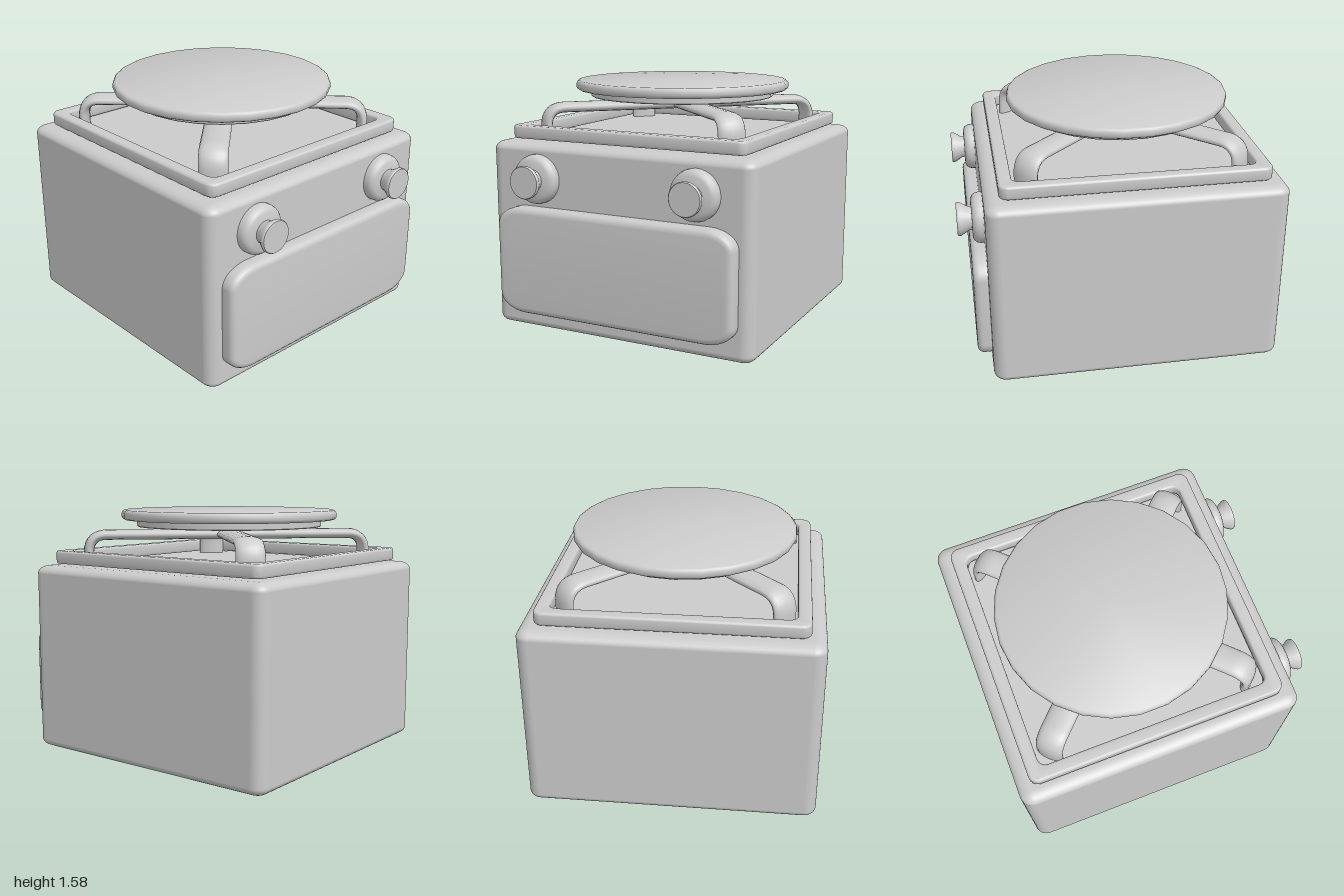
import * as THREE from 'three';
import { toCreasedNormals } from 'three/addons/utils/BufferGeometryUtils.js';
import { RoundedBoxGeometry } from 'three/addons/geometries/RoundedBoxGeometry.js';

const CZ = -0.08; // depth centre of the body and everything on top of it

// Rectangle with elliptical corners, centred on the origin
function roundedRect(target, w, h, rx, ry) {
  const x = w / 2, y = h / 2, q = Math.PI / 2;
  target.moveTo(x, -y + ry);
  target.lineTo(x, y - ry);
  target.absellipse(x - rx, y - ry, rx, ry, 0, q, false);
  target.absellipse(-x + rx, y - ry, rx, ry, q, 2 * q, false);
  target.absellipse(-x + rx, -y + ry, rx, ry, 2 * q, 3 * q, false);
  target.absellipse(x - rx, -y + ry, rx, ry, 3 * q, 4 * q, false);
  return target;
}

// Smooth lathe with sharp creases kept
function turned(points, sides) {
  const profile = points.map(([r, y]) => new THREE.Vector2(r, y));
  return toCreasedNormals(new THREE.LatheGeometry(profile, sides), 0.7);
}

export function createModel() {
  const model = new THREE.Group();
  const grey = new THREE.MeshStandardMaterial({ color: 0xcccccc });
  const add = (name, geometry, x, y, z, parent = model) => {
    const mesh = new THREE.Mesh(geometry, grey);
    mesh.name = name;
    mesh.position.set(x, y, z);
    parent.add(mesh);
    return mesh;
  };

  // Body: rounded box whose edge rounding is flattened vertically
  const squash = 0.65;
  const body = new RoundedBoxGeometry(1.83, 1.22 / squash, 1.84, 5, 0.08);
  body.scale(1, squash, 1);
  add('body', body, 0, 0.61, CZ);

  // Door panel on the front
  const b = 0.04;
  const doorShape = roundedRect(new THREE.Shape(), 1.65 - 2 * b, 0.7 - 2 * b, 0.15, 0.085);
  const door = new THREE.ExtrudeGeometry(doorShape, {
    depth: 0.06, bevelSize: b, bevelThickness: b, bevelSegments: 4, curveSegments: 8,
  });
  add('door', toCreasedNormals(door, 0.6), 0, 0.47, 0.83);

  // Square rim around the burner
  const e = 0.015;
  const rimShape = roundedRect(new THREE.Shape(), 1.64 - 2 * e, 1.66 - 2 * e, 0.045, 0.045);
  rimShape.holes.push(roundedRect(new THREE.Path(), 1.47 + 2 * e, 1.49 + 2 * e, 0.07, 0.07));
  const rim = new THREE.ExtrudeGeometry(rimShape, {
    depth: 0.085 - 2 * e, bevelSize: e, bevelThickness: e, bevelSegments: 3, curveSegments: 6,
  });
  rim.rotateX(-Math.PI / 2);
  add('burnerRim', toCreasedNormals(rim, 0.6), 0, 1.23 + e, CZ);

  // Two crossing support bars, flattened tubes bent down at the corners
  const v = (x, y) => new THREE.Vector3(x, y, 0);
  const path = new THREE.CurvePath();
  const R = 0.93, top = 1.417, bend = 0.12;
  path.add(new THREE.LineCurve3(v(-R, 1.2), v(-R, top - bend)));
  path.add(new THREE.QuadraticBezierCurve3(v(-R, top - bend), v(-R, top), v(-R + bend, top)));
  path.add(new THREE.LineCurve3(v(-R + bend, top), v(R - bend, top)));
  path.add(new THREE.QuadraticBezierCurve3(v(R - bend, top), v(R, top), v(R, top - bend)));
  path.add(new THREE.LineCurve3(v(R, top - bend), v(R, 1.2)));
  for (const side of [1, -1]) {
    const bar = new THREE.TubeGeometry(path, 100, 0.034, 16);
    bar.scale(1, 1, 2.6);
    add(side > 0 ? 'supportBarA' : 'supportBarB', bar, 0, 0, CZ).rotation.y = side * Math.PI / 4;
  }

  // Round hot plate with a stepped underside
  add('hotPlate', turned([
    [0, 1.47], [0.61, 1.47], [0.615, 1.475], [0.615, 1.515], [0.695, 1.515],
    [0.708, 1.522], [0.715, 1.535], [0.715, 1.56], [0.708, 1.573], [0.695, 1.58], [0, 1.58],
  ], 26), 0, 0, CZ - 0.005);

  // Pair of knobs: rounded collar and flared grip
  for (const side of [1, -1]) {
    const knob = new THREE.Group();
    knob.name = side > 0 ? 'leftKnob' : 'rightKnob';
    knob.position.set(side * 0.552, 1, 0.83);
    knob.rotation.x = Math.PI / 2;
    add('collar', turned([
      [0, 0], [0.157, 0], [0.157, 0.035], [0.152, 0.055], [0.14, 0.07], [0.12, 0.08], [0, 0.08],
    ], 32), 0, 0, 0, knob);
    add('grip', turned([
      [0.07, 0.07], [0.075, 0.1], [0.104, 0.148], [0.105, 0.163], [0.1, 0.17], [0, 0.17],
    ], 32), 0, 0, 0, knob);
    model.add(knob);
  }

  return model;
}
